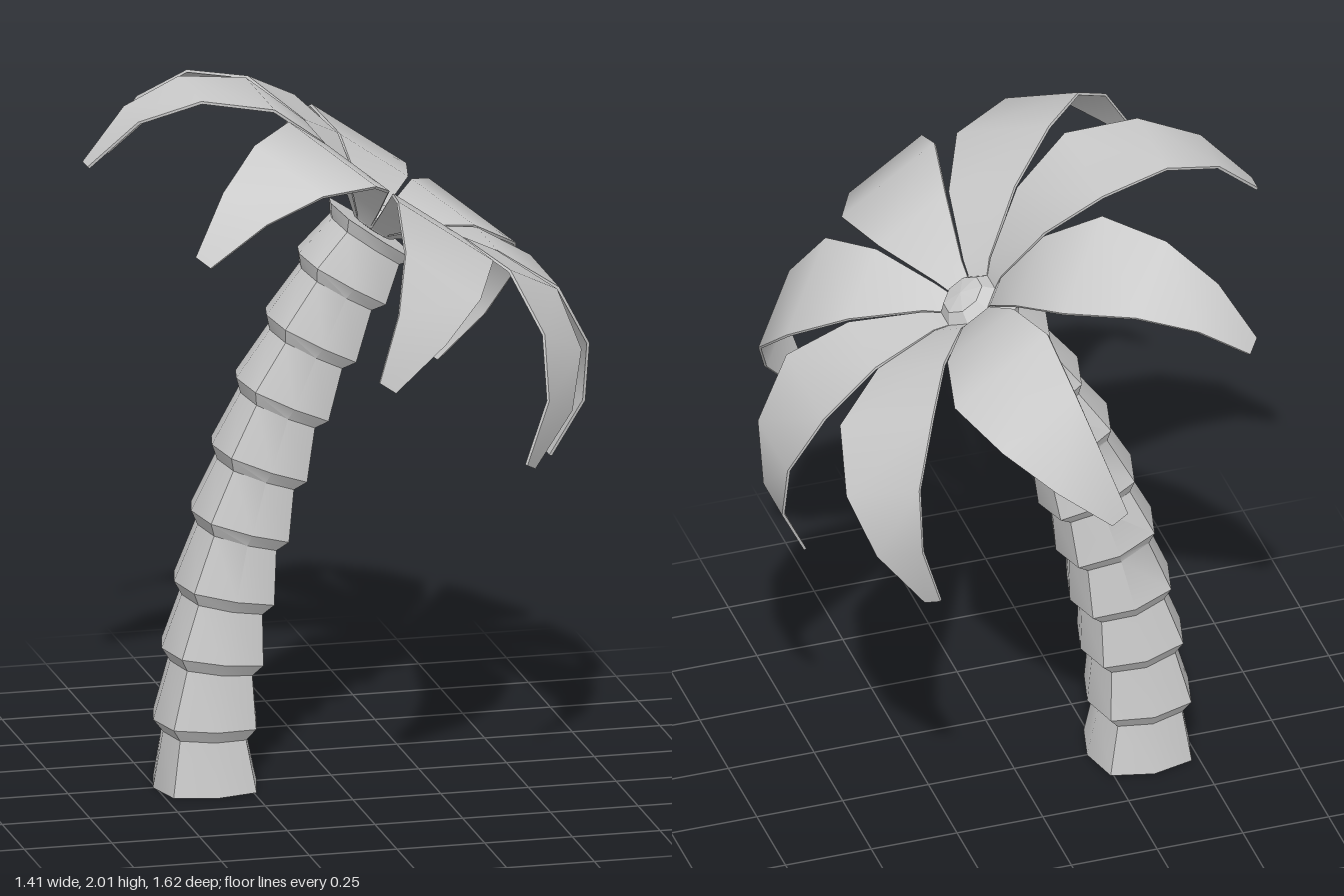
import * as THREE from 'three';
import { mergeGeometries, toCreasedNormals } from 'three/addons/utils/BufferGeometryUtils.js';

const TILT = 0.611; // lean of the crown towards +x

// Surface between two rows of points, smooth along its length
function strip(left, right) {
  const geo = new THREE.BufferGeometry();
  const pos = [], idx = [];
  left.forEach((p, i) => {
    pos.push(...p.toArray(), ...right[i].toArray());
    const k = 2 * i;
    if (i < left.length - 1) idx.push(k, k + 1, k + 3, k, k + 3, k + 2);
  });
  geo.setAttribute('position', new THREE.Float32BufferAttribute(pos, 3));
  geo.setIndex(idx);
  geo.computeVertexNormals();
  return geo;
}

// Ringed trunk: each segment tapers upwards, then flares into the next
function trunkGeometry() {
  // centre x, centre y, lean in degrees at each flare
  const flares = [
    [-0.36, 0, 0], [-0.36, 0.188, 3], [-0.338, 0.38, 8], [-0.305, 0.56, 12], [-0.26, 0.748, 17],
    [-0.205, 0.925, 21], [-0.14, 1.103, 25], [-0.058, 1.272, 28], [0.03, 1.437, 31], [0.115, 1.567, 35],
  ];
  const rings = [];
  flares.forEach(([x, y, deg], i) => {
    const t = THREE.MathUtils.degToRad(deg);
    const r = 0.148 - 0.0007 * i;
    if (i > 0) {
      rings.push({ x: x - 0.034 * Math.sin(t), y: y - 0.034 * Math.cos(t), t, rx: r * 0.8, rz: r * 0.87 });
    }
    rings.push({ x, y, t, rx: r, rz: r });
  });

  const N = 8, pos = [], idx = [];
  for (const { x, y, t, rx, rz } of rings) {
    for (let j = 0; j < N; j++) {
      const a = (j / N) * Math.PI * 2;
      const corner = j % 2 ? 1.13 : 1; // squarish octagon
      const u = corner * rx * Math.cos(a);
      pos.push(x + u * Math.cos(t), y - u * Math.sin(t), corner * rz * Math.sin(a));
    }
  }
  const last = rings.length - 1;
  const bottom = pos.length / 3, top = bottom + 1;
  pos.push(rings[0].x, rings[0].y, 0, rings[last].x, rings[last].y, 0);
  for (let j = 0; j < N; j++) {
    const n = (j + 1) % N;
    for (let i = 0; i < last; i++) {
      const a = i * N, b = a + N;
      idx.push(a + j, b + j, b + n, a + j, b + n, a + n);
    }
    idx.push(bottom, j, n, top, last * N + n, last * N + j);
  }
  const geo = new THREE.BufferGeometry();
  geo.setAttribute('position', new THREE.Float32BufferAttribute(pos, 3));
  geo.setIndex(idx);
  return toCreasedNormals(geo, 0.6);
}

// One thin leaf growing along +x, arching up and then drooping
function leafGeometry() {
  // distance from hub, height, half width
  const stations = [
    [0.05, -0.025, 0.02], [0.12, 0.032, 0.047], [0.3, 0.112, 0.118], [0.495, 0.121, 0.165],
    [0.675, 0.03, 0.13], [0.778, -0.117, 0.082], [0.808, -0.303, 0.028],
  ];
  const thickness = 0.008;
  const a = stations.map(([r, h, w]) => new THREE.Vector3(r, h, -w));
  const b = stations.map(([r, h, w]) => new THREE.Vector3(r, h, w));
  const upper = strip(a, b);
  const normal = new THREE.Vector3();
  const lower = (row) => row.map((p, i) => {
    normal.fromBufferAttribute(upper.attributes.normal, 2 * i);
    return p.clone().addScaledVector(normal, -thickness);
  });
  const a2 = lower(a), b2 = lower(b), e = stations.length - 1;
  return mergeGeometries([
    upper, strip(b2, a2),
    strip(b, b2), strip(a2, a),
    strip([a2[e], b2[e]], [a[e], b[e]]),
    strip([b2[0], a2[0]], [b[0], a[0]]),
  ]);
}

export function createModel() {
  const model = new THREE.Group();
  model.name = 'palmTree';
  const smooth = new THREE.MeshStandardMaterial({ color: 0xcccccc });
  const faceted = new THREE.MeshStandardMaterial({ color: 0xcccccc, flatShading: true });

  const trunk = new THREE.Mesh(trunkGeometry(), smooth);
  trunk.name = 'trunk';
  model.add(trunk);

  // Leaning crown of eight leaves around a small hub
  const crown = new THREE.Group();
  crown.name = 'crown';
  crown.position.set(0.134, 1.595, 0);
  crown.rotation.z = -TILT;
  model.add(crown);

  const leafGeo = leafGeometry();
  for (let i = 0; i < 8; i++) {
    const leaf = new THREE.Mesh(leafGeo, smooth);
    leaf.name = `leaf${i + 1}`;
    leaf.rotation.y = (i * Math.PI) / 4;
    crown.add(leaf);
  }

  const hub = new THREE.Mesh(new THREE.SphereGeometry(0.09, 8, 4), faceted);
  hub.name = 'hub';
  hub.scale.y = 0.45;
  hub.rotation.y = Math.PI / 8;
  crown.add(hub);

  return model;
}
